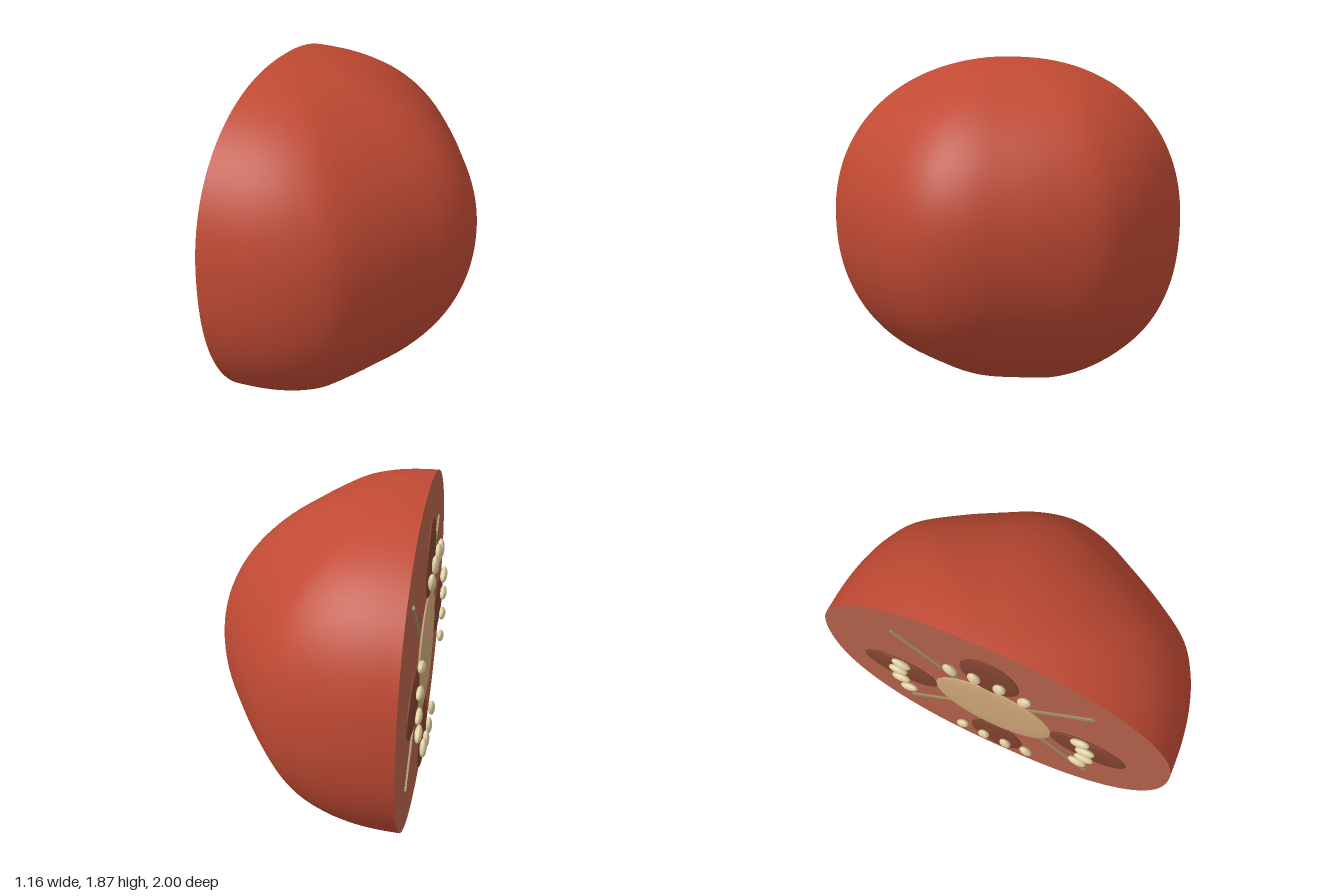
import * as THREE from 'three';

const mat = (name, color) => {
  const m = new THREE.MeshStandardMaterial({ color });
  m.name = name;
  return m;
};

const CUT_X = -0.51, MID_Y = 0.98;

// Lobed outline of the half fruit at its widest level: (distance from the cut, z)
const half = [[1.09, 0], [1.05, 0.2], [0.95, 0.4], [0.833, 0.6], [0.685, 0.8],
  [0.53, 0.9], [0.357, 0.96], [0.18, 0.99], [0, 1]];
const outline = new THREE.SplineCurve([
  ...half.slice(1).reverse().map(([x, z]) => new THREE.Vector2(x, -z)),
  ...half.map(([x, z]) => new THREE.Vector2(x, z)),
]).getSpacedPoints(96);

// Point on the skin: latitude shrinks the outline toward the top and bottom
function skinPoint(lat, o) {
  const t = Math.sin(lat), n = 2 + 0.25 * o.y * o.y;
  const h = Math.pow(Math.max(0, 1 - Math.pow(Math.abs(t), n)), 1 / n);
  return [CUT_X + o.x * h, MID_Y + t * (t > 0 ? 0.89 : MID_Y), o.y * h];
}

function skinGeometry() {
  const rows = 64, cols = outline.length, pos = [], index = [];
  for (let i = 0; i <= rows; i++) {
    const lat = (i / rows - 0.5) * Math.PI;
    for (const o of outline) pos.push(...skinPoint(lat, o));
  }
  for (let i = 0; i < rows; i++) {
    for (let j = 0; j < cols - 1; j++) {
      const a = i * cols + j, b = a + cols;
      if (i < rows - 1) index.push(a, b, b + 1);
      if (i > 0) index.push(a, b + 1, a + 1);
    }
  }
  const g = new THREE.BufferGeometry();
  g.setAttribute('position', new THREE.Float32BufferAttribute(pos, 3));
  g.setIndex(index);
  g.computeVertexNormals();
  return g;
}

// Flat cut face following the rim of the skin, drawn in (z, y)
function cutGeometry(centreY) {
  const pts = [];
  for (const side of [1, -1]) {
    for (let i = 0; i < 64; i++) {
      const lat = side * (i / 64 - 0.5) * Math.PI;
      const [, y, z] = skinPoint(lat, new THREE.Vector2(0, side));
      pts.push(new THREE.Vector2(z, y - centreY));
    }
  }
  return new THREE.ShapeGeometry(new THREE.Shape(pts));
}

export function createModel() {
  const skin = mat('red skin', 0xc04a33);
  const flesh = mat('cut flesh', 0xb4624a);
  const coreMat = mat('pale core', 0xcfa678);
  const pulp = mat('dark pulp', 0x80432f);
  const seedMat = mat('cream seed', 0xe2d2a4);
  const wallMat = mat('green wall', 0x9c8f62);

  const model = new THREE.Group();
  model.name = 'halvedFruit';
  const add = (parent, name, geometry, material) => {
    const m = new THREE.Mesh(geometry, material);
    m.name = name;
    parent.add(m);
    return m;
  };
  add(model, 'skin', skinGeometry(), skin);

  // Cut side: local x runs along z, local z points out of the cut
  const centreY = 0.94;
  const cut = new THREE.Group();
  cut.name = 'cutSide';
  cut.position.set(CUT_X, centreY, 0);
  cut.rotation.y = -Math.PI / 2;
  model.add(cut);
  add(cut, 'cutFace', cutGeometry(centreY), flesh);

  // Flattened ellipsoid whose long axis points away from the centre
  const ball = new THREE.SphereGeometry(1, 32, 20);
  const blob = (name, material, angle, radius, size, lift) => {
    const m = add(cut, name, ball, material);
    m.position.set(Math.cos(angle) * radius, Math.sin(angle) * radius, lift);
    m.rotation.z = angle;
    m.scale.set(...size);
  };

  blob('core', coreMat, 0, 0, [0.34, 0.34, 0.022], 0.023);

  for (let q = 0; q < 4; q++) {
    const angle = q * Math.PI / 2;
    blob('seedChamber', pulp, angle, 0.55, [0.22, 0.16, 0.02], 0.023);
    for (const d of [-0.375, -0.125, 0.125, 0.375]) {
      blob('seed', seedMat, angle + d, 0.55, [0.055, 0.034, 0.02], 0.055);
    }
    // Thin wall between neighbouring chambers
    const diagonal = angle + Math.PI / 4;
    const wall = add(cut, 'chamberWall', new THREE.BoxGeometry(0.5, 0.02, 0.012), wallMat);
    wall.position.set(Math.cos(diagonal) * 0.53, Math.sin(diagonal) * 0.53, 0.004);
    wall.rotation.z = diagonal;
  }
  return model;
}
